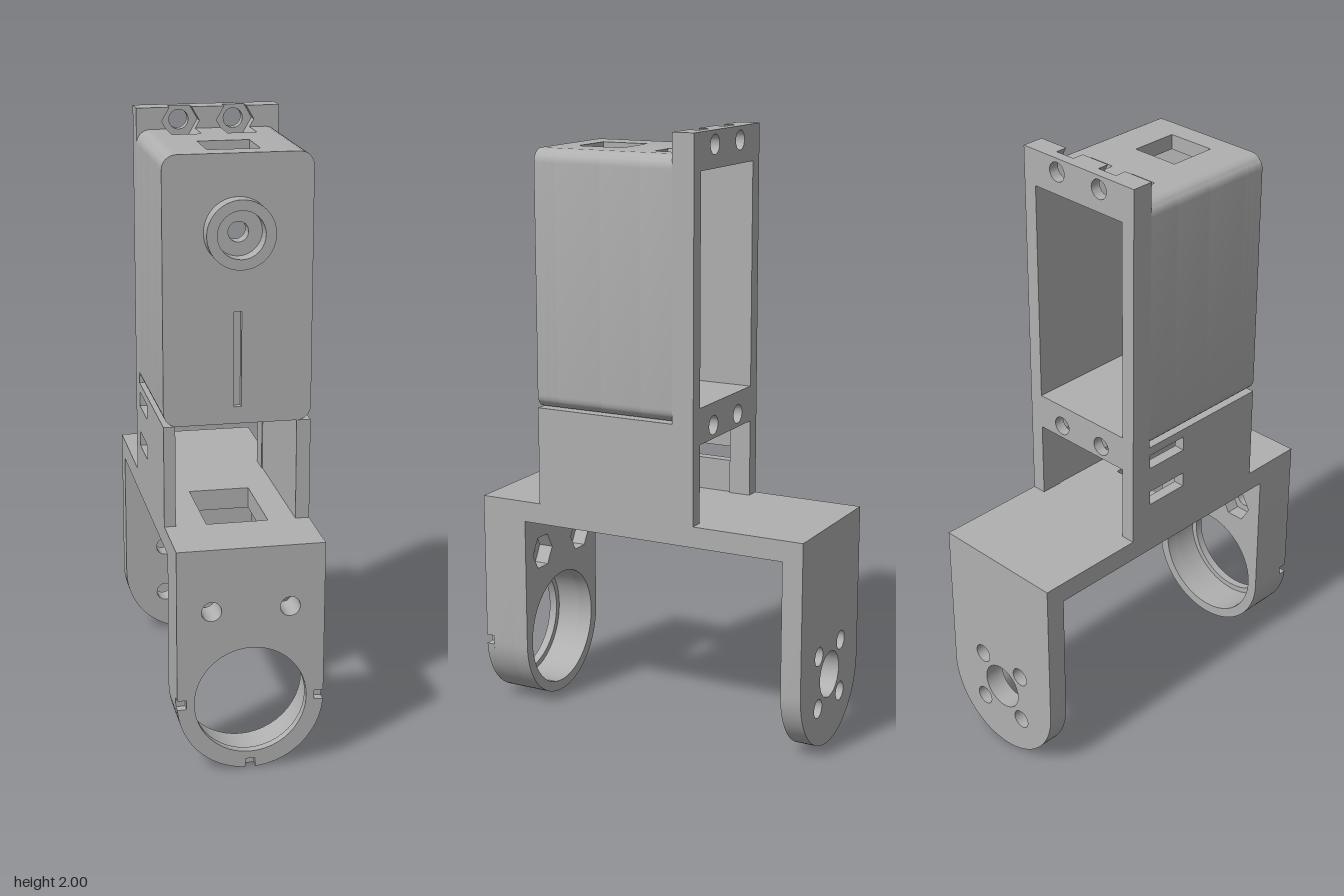
import * as THREE from 'three';
import { toCreasedNormals } from 'three/addons/utils/BufferGeometryUtils.js';

const W = 0.235;      // half width of every part
const IN = 0.187;     // half width of the cavity
const HEX = 0.062;    // nut pocket radius
const SCREW = 0.032;  // screw hole radius
const SCREW_X = [-0.09, 0.09];

const poly = (pts) => new THREE.Shape(pts.map(([x, y]) => new THREE.Vector2(x, y)));
const rect = (x0, y0, x1, y1) => poly([[x0, y0], [x1, y0], [x1, y1], [x0, y1]]);
const ngon = (x, y, r, n = 32) => poly(Array.from({ length: n }, (_, i) => {
  const a = (i / n) * Math.PI * 2;
  return [x + r * Math.cos(a), y + r * Math.sin(a)];
}));

// Arc points from angle a0 to a1 (in degrees)
const arc = (x, y, r, a0, a1, n = 8) => Array.from({ length: n + 1 }, (_, i) => {
  const a = THREE.MathUtils.degToRad(a0 + ((a1 - a0) * i) / n);
  return [x + r * Math.cos(a), y + r * Math.sin(a)];
});

// Hexagonal bite from a horizontal edge, open upwards (s = 1) or downwards (s = -1), left to right
function hexBite(cx, cy, edge, s) {
  const half = HEX - Math.abs(edge - cy) / Math.sqrt(3);
  const deep = cy - s * HEX * Math.sqrt(0.75);
  const mid = (edge - cy) * s > 0;
  return [
    [cx - half, edge], ...(mid ? [[cx - HEX, cy]] : []),
    [cx - HEX / 2, deep], [cx + HEX / 2, deep],
    ...(mid ? [[cx + HEX, cy]] : []), [cx + half, edge],
  ];
}

// Rounded box section, optionally with nut grooves in its top and bottom
const B0 = 1.08, B1 = 1.93, R = 0.045;
function boxOutline(grooves) {
  const bites = (cy, edge, s) => (grooves ? SCREW_X.flatMap((x) => hexBite(x, cy, edge, s)) : []);
  return poly([
    ...arc(-W + R, B0 + R, R, 180, 270), ...bites(1.055, B0, -1),
    ...arc(W - R, B0 + R, R, 270, 360), ...arc(W - R, B1 - R, R, 0, 90),
    ...bites(1.955, B1, 1).reverse(), ...arc(-W + R, B1 - R, R, 90, 180),
  ]);
}

// Mounting frame outline: legs, lower bar and top edge
function frameOutline(pockets) {
  const bites = (cy, edge, s) => (pockets ? SCREW_X.flatMap((x) => hexBite(x, cy, edge, s)) : []);
  return poly([
    [-W, 0.75], [-IN, 0.75], [-IN, 1.01], ...bites(1.055, 1.01, -1),
    [IN, 1.01], [IN, 0.75], [W, 0.75], [W, 2], ...bites(1.955, 2, 1).reverse(), [-W, 2],
  ]);
}

// Leg outline with a round foot, optionally with three index notches
function legOutline(notched) {
  const c = 0.235, n = 0.015, d = 0.205;
  if (!notched) return poly([[W, 0.75], [-W, 0.75], ...arc(0, c, W, 180, 360, 40)]);
  return poly([
    [W, 0.75], [-W, 0.75], [-W, c + n], [-d, c + n], [-d, c - n],
    ...arc(0, c, W, 184, 266, 20), [-n, c - d], [n, c - d],
    ...arc(0, c, W, 274, 356, 20), [d, c - n], [d, c + n], [W, c + n],
  ]);
}

export function createModel() {
  const model = new THREE.Group();
  model.name = 'servoBracket';
  const grey = new THREE.MeshStandardMaterial({ color: 0xb0b0b0 });
  grey.name = 'plainGrey';

  const solid = (shape, depth, holes = []) => {
    shape.holes.push(...holes);
    return toCreasedNormals(new THREE.ExtrudeGeometry(shape, { depth, bevelEnabled: false }), 0.5);
  };
  const add = (parent, name, geometry) => {
    const mesh = new THREE.Mesh(geometry, grey);
    mesh.name = name;
    parent.add(mesh);
  };
  const group = (name) => {
    const g = new THREE.Group();
    g.name = name;
    model.add(g);
    return g;
  };
  // Slab between two depths
  const slab = (parent, name, shape, z0, z1, holes) =>
    add(parent, name, solid(shape, z1 - z0, holes).translate(0, 0, z0));

  // Housing, in slabs from back to front
  const housing = group('housing');
  const cavity = () => rect(-IN, 1.13, IN, 1.88);
  slab(housing, 'groovedShell', boxOutline(true), -0.13, -0.015, [cavity()]);
  slab(housing, 'middleShell', boxOutline(false), -0.015, 0.13, [cavity()]);
  for (const s of [-1, 1]) {
    const half = [
      [0.083, B0], ...arc(W - R, B0 + R, R, 270, 360), ...arc(W - R, B1 - R, R, 0, 90),
      [0.083, B1], [0.083, 1.88], [IN, 1.88], [IN, 1.13], [0.083, 1.13],
    ].map(([x, y]) => [s * x, y]);
    slab(housing, 'windowShell', poly(half), 0.13, 0.295);
  }
  slab(housing, 'frontShell', boxOutline(false), 0.295, 0.32, [cavity()]);
  slab(housing, 'frontWall', boxOutline(false), 0.32, 0.35, [ngon(0, 1.69, SCREW)]);
  slab(housing, 'frontFace', boxOutline(false), 0.35, 0.37,
    [ngon(0, 1.69, SCREW), rect(-0.012, 1.135, 0.012, 1.44)]);
  slab(housing, 'boss', ngon(0, 1.69, 0.108, 48), 0.37, 0.425, [ngon(0, 1.69, 0.075)]);

  // Rear mounting frame with screw holes and nut pockets
  const frame = group('mountingFrame');
  const screws = [1.955, 1.055].flatMap((y) => SCREW_X.map((x) => ngon(x, y, SCREW, 24)));
  slab(frame, 'screwPlate', frameOutline(false), -0.205, -0.17, [cavity(), ...screws]);
  slab(frame, 'nutPlate', frameOutline(true), -0.17, -0.13, [cavity()]);

  // Side walls under the housing, the right one slotted for cables
  const walls = group('sideWalls');
  for (const [name, x, t, slots] of [
    ['leftWall', 0.19, 0.045, []],
    ['rightWall', -W, 0.037, [[1.0, 1.05], [0.86, 0.91]]],
  ]) {
    const shape = rect(-0.37, 0.75, 0.13, B0);
    const wall = solid(shape, t, slots.map(([a, b]) => rect(-0.03, a, 0.127, b)));
    add(walls, name, wall.rotateY(Math.PI / 2).translate(x, 0, 0));
  }

  // Bridge plate between the legs
  const bridge = solid(rect(-W, -0.43, W, 0.52), 0.07, [rect(-0.1, -0.37, 0.1, -0.06)]);
  add(model, 'bridgePlate', bridge.rotateX(-Math.PI / 2).translate(0, 0.68, 0));

  // Front leg with stepped bearing ring and nut pockets
  const front = group('frontLeg');
  const bolts = (r, n) => [-0.125, 0.125].map((x) => ngon(x, 0.545, r, n));
  slab(front, 'nutLayer', legOutline(false), 0.43, 0.48, [ngon(0, 0.235, 0.2, 48), ...bolts(HEX, 6)]);
  slab(front, 'ringLayer', legOutline(false), 0.48, 0.565, [ngon(0, 0.235, 0.2, 48), ...bolts(SCREW, 24)]);
  slab(front, 'lipLayer', legOutline(true), 0.565, 0.593, [ngon(0, 0.235, 0.18, 48), ...bolts(SCREW, 24)]);

  // Rear leg with horn hole and four screws
  const horn = SCREW_X.flatMap((x) => SCREW_X.map((y) => ngon(x, 0.238 + y, SCREW, 24)));
  slab(model, 'rearLeg', legOutline(false), -0.59, -0.52, [ngon(0, 0.238, 0.078), ...horn]);

  return model;
}
